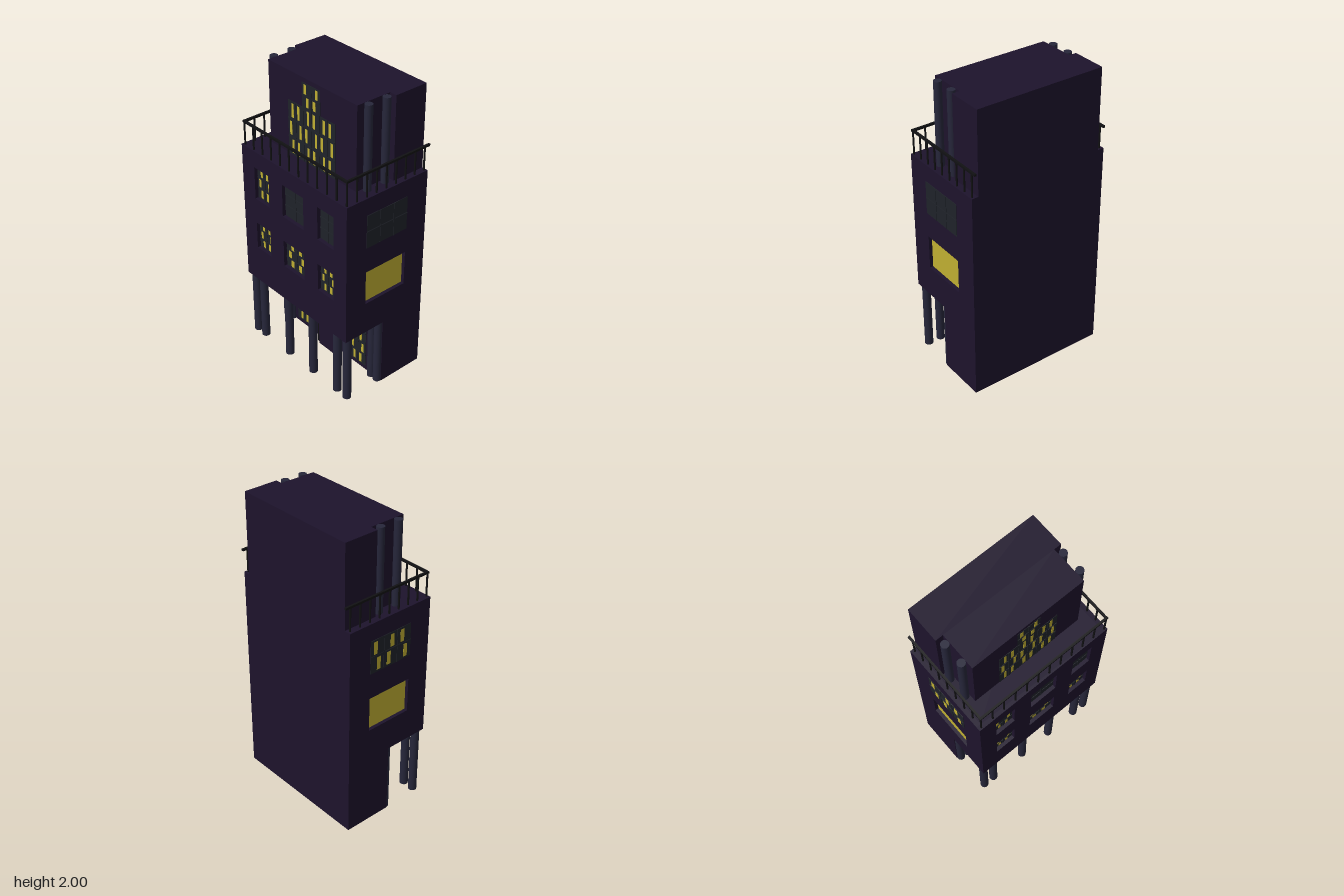
import * as THREE from 'three';

const mat = (color) => new THREE.MeshStandardMaterial({ color });

export function createModel() {
  const model = new THREE.Group();
  const wall = mat(0x1d132c), pipe = mat(0x26263a), glass = mat(0x1f2229);
  const light = mat(0xbfae32), iron = mat(0x111113);

  const add = (name, geometry, material, x = 0, y = 0, z = 0, parent = model) => {
    const mesh = new THREE.Mesh(geometry, material);
    mesh.name = name;
    mesh.position.set(x, y, z);
    parent.add(mesh);
    return mesh;
  };
  // Box given by its limits
  const box = (name, material, x0, x1, y0, y1, z0, z1, parent = model) =>
    add(name, new THREE.BoxGeometry(x1 - x0, y1 - y0, z1 - z0), material,
      (x0 + x1) / 2, (y0 + y1) / 2, (z0 + z1) / 2, parent);
  const column = (name, x, z, y0, y1, r) =>
    add(name, new THREE.CylinderGeometry(r, r, y1 - y0, 20), pipe, x, (y0 + y1) / 2, z);

  // Wall panel with rectangular openings [u0, u1, v0, v1]
  const panel = (u0, u1, v0, v1, holes, depth) => {
    const rect = (path, a, b, c, d) =>
      path.moveTo(a, c).lineTo(b, c).lineTo(b, d).lineTo(a, d).closePath();
    const shape = new THREE.Shape();
    rect(shape, u0, u1, v0, v1);
    for (const h of holes) {
      const hole = new THREE.Path();
      rect(hole, ...h);
      shape.holes.push(hole);
    }
    return new THREE.ExtrudeGeometry(shape, { depth, bevelEnabled: false });
  };

  // Dark pane facing +z with glazing bars and slivers of lit glass
  const paneWindow = (name, w, h, cols, rows, lit) => {
    const g = new THREE.Group();
    g.name = name;
    box('glass', glass, -w / 2, w / 2, -h / 2, h / 2, -0.004, 0, g);
    for (let i = 1; i < cols; i++) {
      const x = -w / 2 + (w * i) / cols;
      box('glazingBar', glass, x - 0.004, x + 0.004, -h / 2, h / 2, 0, 0.003, g);
    }
    for (let j = 1; j < rows; j++) {
      const y = -h / 2 + (h * j) / rows;
      box('glazingBar', glass, -w / 2, w / 2, y - 0.004, y + 0.004, 0, 0.003, g);
    }
    for (let i = 0; lit && i < cols; i++) {
      for (let j = 0; j < rows; j++) {
        const cw = w / cols, ch = h / rows;
        const x = -w / 2 + cw * (i + ((i + j) % 2 ? 0.35 : 0.6));
        const y = -h / 2 + ch * (j + 0.5);
        box('litGlass', light, x - cw * 0.14, x + cw * 0.14,
          y - ch * 0.38, y + ch * 0.38, 0, 0.001, g);
      }
    }
    model.add(g);
    return g;
  };

  // Ground floor, set back under the overhang
  box('groundFloor', wall, -0.485, 0.485, 0, 0.48, -0.31, 0.02);
  for (const x of [-0.455, -0.375, -0.115, 0.125, 0.36, 0.452])
    column('frontColumn', x, 0.283, 0, 0.48, 0.028);
  for (const s of [-1, 1]) {
    for (const x of [0.4, 0.455]) column('rearColumn', s * x, 0.027, 0, 0.48, 0.027);
    paneWindow('shopWindow', 0.15, 0.355, 2, 4, true).position.set(s * 0.268, 0.21, 0.026);
  }

  // Entrance
  box('doorFrame', iron, -0.085, -0.062, 0, 0.385, 0.02, 0.065);
  box('doorFrame', iron, 0.088, 0.105, 0, 0.385, 0.02, 0.065);
  box('doorLintel', iron, -0.085, 0.105, 0.357, 0.385, 0.02, 0.065);
  box('door', wall, -0.062, 0.088, 0, 0.357, 0.02, 0.075);
  add('doorKnob', new THREE.SphereGeometry(0.006, 12, 8), light, 0.074, 0.178, 0.078);

  // Middle storeys: core wrapped in panels with recessed openings
  box('middleCore', wall, -0.455, 0.455, 0.48, 1.45, -0.31, 0.295);
  const openings = [];
  for (const [y0, y1] of [[0.74, 0.93], [1.11, 1.335]])
    for (const [x0, x1] of [[-0.367, -0.225], [-0.097, 0.1], [0.228, 0.372]])
      openings.push([x0, x1, y0, y1]);
  add('frontWall', panel(-0.485, 0.485, 0.48, 1.45, openings, 0.03), wall, 0, 0, 0.295);
  for (const [x0, x1, y0, y1] of openings) {
    const lit = y0 < 1 || x0 < -0.2;
    paneWindow('frontWindow', x1 - x0, y1 - y0, 2, 3, lit)
      .position.set((x0 + x1) / 2, (y0 + y1) / 2, 0.301);
  }
  for (const s of [-1, 1]) {
    const side = add('sideWall', panel(-0.31, 0.295, 0.48, 1.45, [[-0.15, 0.17, 0.7, 0.935]], 0.03),
      wall, s > 0 ? 0.485 : -0.455);
    side.rotation.y = -Math.PI / 2;
    box('litSideWindow', light, s * 0.458 - 0.004, s * 0.458 + 0.004, 0.7, 0.935, -0.15, 0.17);
    const upper = paneWindow('upperSideWindow', 0.32, 0.225, 3, 2, s < 0);
    upper.position.set(s * 0.488, 1.222, 0.01);
    upper.rotation.y = (s * Math.PI) / 2;
  }

  // Set-back top storey with corner pipes
  box('towerFront', wall, -0.39, 0.39, 1.45, 2, -0.075, 0.17);
  box('towerBack', wall, -0.44, 0.44, 1.45, 2, -0.31, -0.075);
  for (const s of [-1, 1])
    for (const z of [-0.028, 0.108]) column('towerPipe', s * 0.415, z, 1.45, 2, 0.025);

  // Stepped tower window
  paneWindow('towerWindow', 0.42, 0.36, 6, 3, true).position.set(0, 1.63, 0.172);
  paneWindow('towerWindowTop', 0.16, 0.16, 2, 2, true).position.set(0, 1.89, 0.172);

  // Balcony railing
  const railing = new THREE.Group();
  railing.name = 'railing';
  model.add(railing);
  const post = (x, z) => add('railingPost', new THREE.CylinderGeometry(0.006, 0.006, 0.16, 8),
    iron, x, 1.53, z, railing);
  box('frontRail', iron, -0.472, 0.478, 1.603, 1.617, 0.305, 0.319, railing);
  for (let i = 0; i < 12; i++) post(-0.464 + (i * 0.934) / 11, 0.312);
  for (const x of [-0.464, 0.47]) {
    box('sideRail', iron, x - 0.007, x + 0.007, 1.603, 1.617, -0.328, 0.319, railing);
    for (let i = 1; i < 9; i++) post(x, 0.312 - i * 0.0755);
  }
  return model;
}
